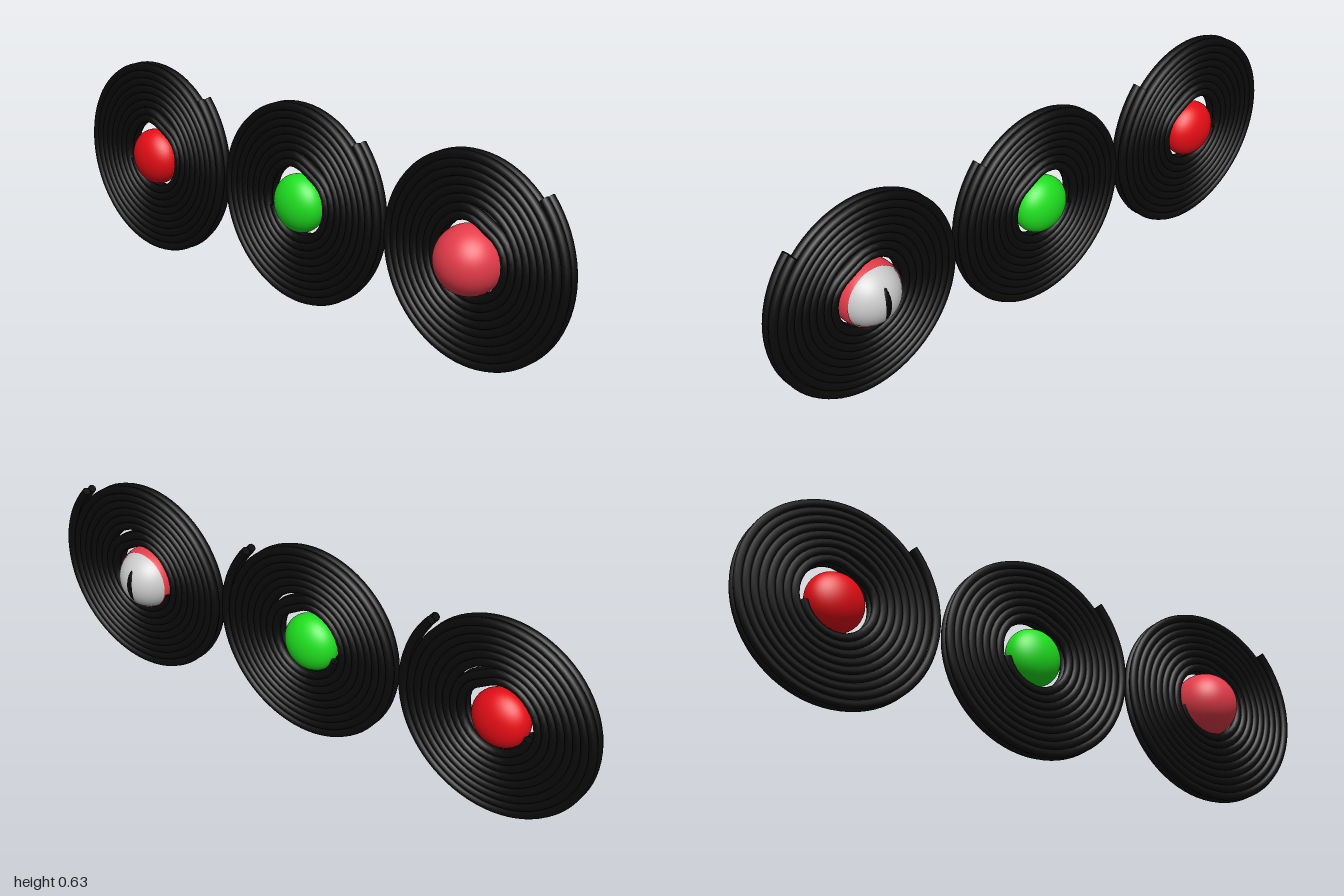
import * as THREE from 'three';

const TUBE = 0.0135;
const TURNS = 8.58;
const CENTRE_Y = 0.323;

const mat = (color) => new THREE.MeshStandardMaterial({ color, side: THREE.DoubleSide });

// Flat spiral of rope in the yz plane, wound inwards from its loose outer end
class CoilCurve extends THREE.Curve {
  constructor() {
    super();
    this.arcLengthDivisions = 1500;
  }
  getPoint(u, target = new THREE.Vector3()) {
    const t = u * TURNS;
    const angle = (0.375 + t) * Math.PI * 2;
    let r = 0.319 - 0.0245 * t + 0.012 * Math.exp(-8 * t);
    // the inner windings sag inwards once per turn, leaving a small gap
    if (t > 6.4) {
      const off = t - Math.round(t) + 0.05;
      r -= 0.013 * Math.exp(-((off / 0.07) ** 2));
    }
    return target.set(0, r * Math.sin(angle), -r * Math.cos(angle));
  }
}

function ellipsoid(name, material, rx, ry, rz) {
  const mesh = new THREE.Mesh(new THREE.SphereGeometry(1, 40, 28).rotateZ(-Math.PI / 2), material);
  mesh.scale.set(rx, ry, rz);
  mesh.name = name;
  return mesh;
}

// Eyeball with a red shell behind and a vertical slit pupil facing +x
function createEye() {
  const eye = new THREE.Group();
  eye.name = 'eye';
  const cut = Math.acos(0.038 / 0.103);
  const shell = new THREE.Mesh(
    new THREE.SphereGeometry(0.103, 40, 24, 0, Math.PI * 2, cut, Math.PI - cut).rotateZ(-Math.PI / 2),
    mat(0xe63c4a)
  );
  shell.name = 'eyeShell';
  eye.add(
    shell,
    ellipsoid('eyeball', mat(0xcccccc), 0.1, 0.1, 0.1),
    ellipsoid('pupil', mat(0x050505), 0.102, 0.096, 0.046)
  );
  return eye;
}

export function createModel() {
  const model = new THREE.Group();
  const black = mat(0x0a0a0a);
  const curve = new CoilCurve();
  const coilGeometry = new THREE.TubeGeometry(curve, 440, TUBE, 8, false);
  const capGeometry = new THREE.CircleGeometry(TUBE, 8);

  // Each disc is two coils side by side
  function createDisc(name, z) {
    const disc = new THREE.Group();
    disc.name = name;
    for (const x of [-0.0065, 0.0205]) {
      const coil = new THREE.Mesh(coilGeometry, black);
      coil.name = 'ropeCoil';
      coil.position.x = x;
      for (const u of [0, 1]) {
        const cap = new THREE.Mesh(capGeometry, black);
        cap.name = 'ropeEnd';
        curve.getPointAt(u, cap.position);
        cap.quaternion.setFromUnitVectors(new THREE.Vector3(0, 0, 1), curve.getTangentAt(u));
        coil.add(cap);
      }
      disc.add(coil);
    }
    disc.position.set(0, CENTRE_Y, z);
    return disc;
  }

  // Centre pieces from front to back
  const pieces = [
    ['frontDisc', 0.665, createEye(), 0, 0.655],
    ['middleDisc', -0.005, ellipsoid('greenGem', mat(0x1fe01f), 0.065, 0.092, 0.092), 0.005, -0.01],
    ['backDisc', -0.675, ellipsoid('redGem', mat(0xe60d16), 0.065, 0.092, 0.092), 0.005, -0.68],
  ];
  for (const [name, z, centre, cx, cz] of pieces) {
    centre.position.set(cx, 0.318, cz);
    model.add(createDisc(name, z), centre);
  }
  return model;
}
